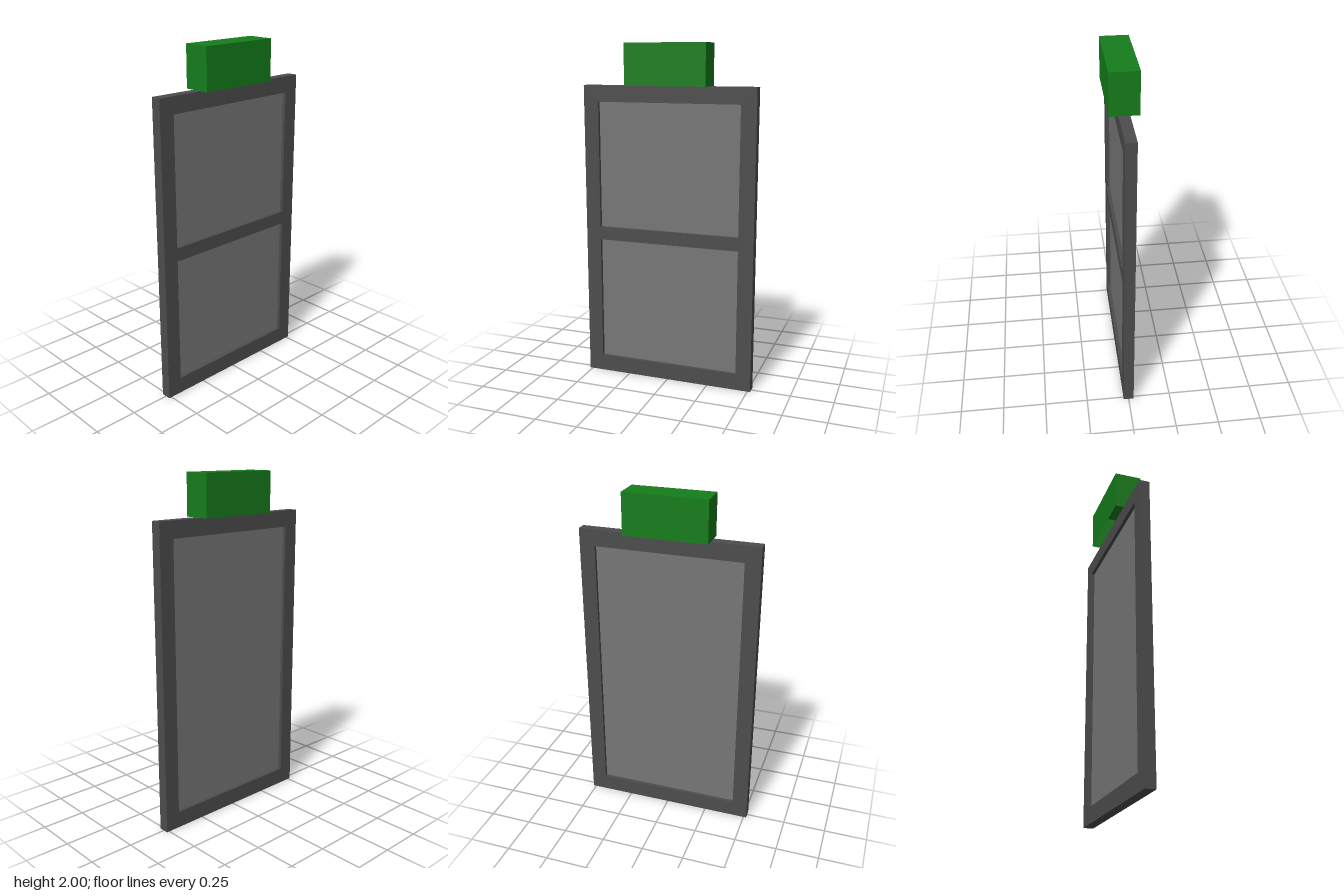
import * as THREE from 'three';

const W = 0.517, H = 1.763, D = 0.03; // frame half width, height, half depth
const IN_W = 0.427, IN_BOTTOM = 0.097, IN_TOP = 1.668; // frame opening
const PANE = 0.01; // half thickness of the pane

const rectangle = (Kind, x, y0, y1) => new Kind([
  new THREE.Vector2(-x, y0), new THREE.Vector2(x, y0),
  new THREE.Vector2(x, y1), new THREE.Vector2(-x, y1),
]);

function addMesh(group, name, geometry, material, x = 0, y = 0, z = 0) {
  const mesh = new THREE.Mesh(geometry, material);
  mesh.name = name;
  mesh.position.set(x, y, z);
  group.add(mesh);
}

export function createModel() {
  const group = new THREE.Group();
  group.name = 'doorWithSignBox';
  const dark = new THREE.MeshStandardMaterial({ color: 0x4d4d4d });
  const grey = new THREE.MeshStandardMaterial({ color: 0x777777 });
  const green = new THREE.MeshStandardMaterial({ color: 0x157d1b, side: THREE.DoubleSide });

  // Outer frame with one tall opening
  const outline = rectangle(THREE.Shape, W, 0, H);
  outline.holes.push(rectangle(THREE.Path, IN_W, IN_BOTTOM, IN_TOP));
  const frame = new THREE.ExtrudeGeometry(outline, { depth: 2 * D, bevelEnabled: false });
  addMesh(group, 'frame', frame, dark, 0, 0, -D);

  // Recessed pane filling the opening
  const pane = new THREE.BoxGeometry(2 * IN_W, IN_TOP - IN_BOTTOM, 2 * PANE);
  addMesh(group, 'pane', pane, grey, 0, (IN_TOP + IN_BOTTOM) / 2, 0);

  // Cross bar on the front only
  const bar = new THREE.BoxGeometry(2 * IN_W, 0.078, D - PANE);
  addMesh(group, 'crossBar', bar, dark, 0, 0.883, (D + PANE) / 2);

  // Hollow sign box, open underneath: drop the six indices of the bottom side
  const box = new THREE.BoxGeometry(0.48, 2 - H, 0.16);
  const index = Array.from(box.index.array);
  index.splice(18, 6);
  box.setIndex(index);
  box.clearGroups();
  addMesh(group, 'signBox', box, green, 0, (2 + H) / 2, 0);

  return group;
}
